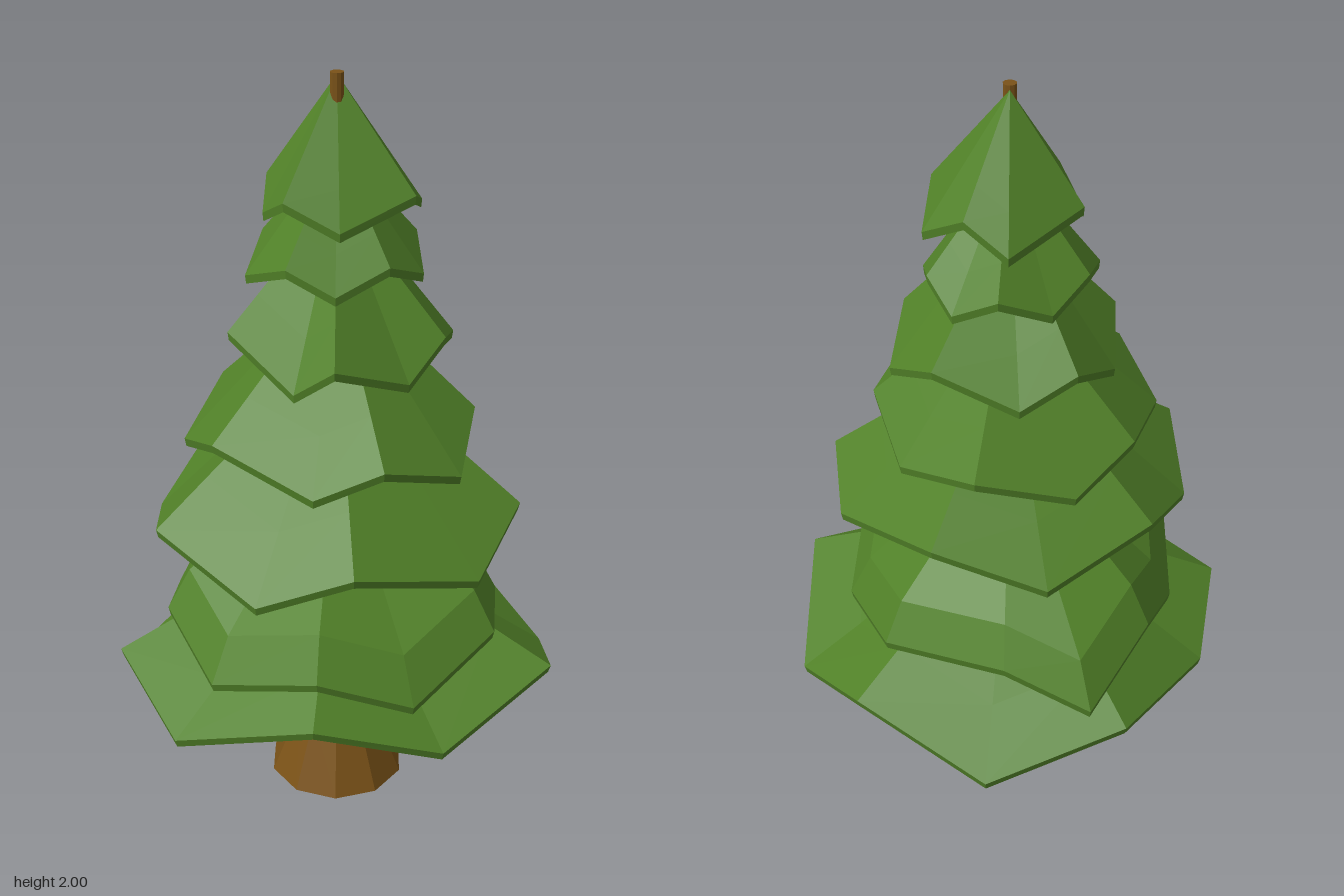
import * as THREE from 'three';

const green = new THREE.MeshStandardMaterial({ color: 0x518128, flatShading: true });
const brown = new THREE.MeshStandardMaterial({ color: 0x7a5217, flatShading: true });

// Skin a stack of equal-length rings, from the top one to the bottom one.
function skinRings(rings) {
  const pos = [];
  const tri = (a, b, c) => pos.push(...a, ...b, ...c);
  for (let k = 0; k < rings.length - 1; k++) {
    const a = rings[k], b = rings[k + 1], n = a.length;
    for (let i = 0; i < n; i++) {
      const j = (i + 1) % n;
      if (b[i] !== b[j]) tri(a[i], b[j], b[i]);
      if (a[i] !== a[j]) tri(a[i], a[j], b[j]);
    }
  }
  const g = new THREE.BufferGeometry();
  g.setAttribute('position', new THREE.Float32BufferAttribute(pos, 3));
  g.computeVertexNormals();
  return g;
}

// One skirt of foliage: a thin cone whose rim corners [x, z, lift] alternate high and low.
// tilt raises the front of the rim; the shoulder ring sits at a share of the slope, lifted by bulge.
function tier(name, { apexY, high, low, tilt = 0, shoulder = 0.72, bulge = 0 }, corners) {
  const apex = [0, apexY, 0.008], innerApex = [0, apexY - 0.05, 0.008];
  const rim = corners.map(([x, z, lift = 0], i) => [x, (i % 2 ? low : high) + tilt * z + lift, z]);
  const mid = rim.map((p) => p.map((v, c) => apex[c] + (v - apex[c]) * shoulder + (c === 1 ? bulge : 0)));
  const under = rim.map(([x, y, z]) => [x * 0.99, y - 0.022, z * 0.99]);
  const innerMid = mid.map(([x, y, z]) => [x * 0.97, y - 0.03, z * 0.97]);
  const mesh = new THREE.Mesh(skinRings([
    rim.map(() => apex), mid, rim, under, innerMid, rim.map(() => innerApex),
  ]), green);
  mesh.name = name;
  return mesh;
}

export function createModel() {
  const tree = new THREE.Group();
  tree.name = 'pineTree';

  // Trunk: flared foot, tapering to the tip that pokes out of the top
  const profile = [[0, 0], [0.188, 0], [0.108, 0.2], [0.08, 0.42], [0.055, 0.9], [0.036, 1.4], [0.017, 1.9], [0.017, 2], [0, 2]];
  const trunk = new THREE.Mesh(
    new THREE.LatheGeometry(profile.map(([r, y]) => new THREE.Vector2(r, y)), 10), brown);
  trunk.position.z = 0.026;
  trunk.name = 'trunk';
  tree.add(trunk);

  // Foliage, from the ground up
  tree.add(
    tier('foliageTier1', { apexY: 0.8, high: 0.44, low: 0.33, tilt: 0.07, bulge: -0.01 }, [
      [0.57, 0.235, 0.015], [0.28, 0.475], [-0.05, 0.55], [-0.41, 0.43], [-0.585, 0.13, -0.01],
      [-0.535, -0.12], [-0.3, -0.47], [0.07, -0.555], [0.41, -0.37], [0.58, -0.13, -0.01]]),
    tier('foliageTier2', { apexY: 1.02, high: 0.62, low: 0.53, shoulder: 0.87, bulge: 0.05 }, [
      [0.41, 0.3], [0.2, 0.51], [-0.04, 0.545], [-0.31, 0.42], [-0.44, 0.2], [-0.44, -0.08],
      [-0.36, -0.3], [-0.2, -0.53], [0.02, -0.45, -0.02], [0.33, -0.31, 0.04], [0.44, -0.06, -0.09]]),
    tier('foliageTier3', { apexY: 1.3, high: 0.91, low: 0.82, tilt: -0.03 }, [
      [0.475, 0.13], [0.36, 0.36], [0.05, 0.505], [-0.19, 0.49], [-0.45, 0.28],
      [-0.47, 0], [-0.36, -0.25], [-0.09, -0.41], [0.2, -0.36], [0.45, -0.08]]),
    tier('foliageTier4', { apexY: 1.48, high: 1.135, low: 1.06, tilt: 0.04 }, [
      [0.355, 0.04], [0.31, 0.3], [0.12, 0.44], [-0.05, 0.44], [-0.3, 0.29],
      [-0.39, 0.09], [-0.31, -0.18], [-0.16, -0.31], [0.09, -0.345], [0.28, -0.18]]),
    tier('foliageTier5', { apexY: 1.69, high: 1.37, low: 1.29, tilt: -0.04 }, [
      [0.27, 0.12], [0.18, 0.22], [0, 0.32], [-0.1, 0.28], [-0.27, 0.1],
      [-0.26, -0.1], [-0.16, -0.26], [-0.02, -0.295], [0.19, -0.24], [0.3, -0.09]]),
    tier('foliageTier6', { apexY: 1.82, high: 1.565, low: 1.505 }, [
      [0.13, 0.17], [0, 0.215], [-0.12, 0.19], [-0.225, 0.07], [-0.19, -0.1],
      [-0.1, -0.19], [0.03, -0.23], [0.14, -0.19], [0.2, -0.1], [0.215, 0.05]]),
    tier('foliageTier7', { apexY: 1.99, high: 1.725, low: 1.66 }, [
      [0.19, 0.11], [0.01, 0.2], [-0.125, 0.17], [-0.18, 0.05],
      [-0.175, -0.06], [0.005, -0.19], [0.11, -0.13], [0.21, -0.06]]),
  );
  return tree;
}
